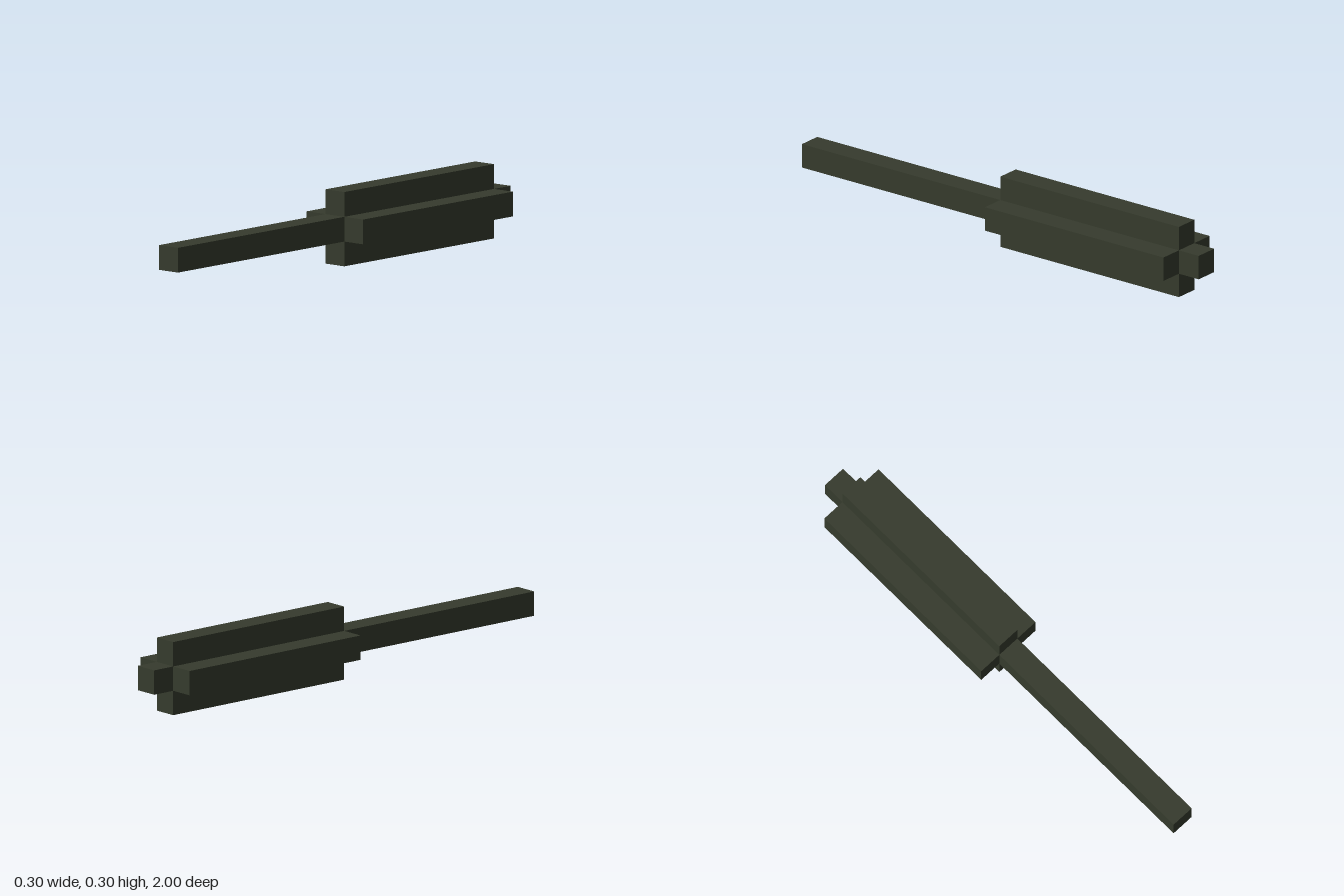
import * as THREE from 'three';

export function createModel() {
  const model = new THREE.Group();
  model.name = 'crossBarredRod';

  const darkOlive = new THREE.MeshStandardMaterial({ color: 0x363b2d });
  darkOlive.name = 'darkOlive';

  const width = 0.1;
  const centreY = 0.15;

  // A square bar running along z
  function bar(name, x, y, zBack, zFront) {
    const length = zFront - zBack;
    const mesh = new THREE.Mesh(new THREE.BoxGeometry(width, width, length), darkOlive);
    mesh.name = name;
    mesh.position.set(x, y, (zBack + zFront) / 2);
    model.add(mesh);
  }

  // Full-length core: slim handle at the front, short stub at the back
  bar('coreRod', 0, centreY, -1, 1);

  // Four flanges around the rear half, forming a plus-shaped section
  const flanges = [
    ['topFlange', 0, 1],
    ['bottomFlange', 0, -1],
    ['leftFlange', 1, 0],
    ['rightFlange', -1, 0],
  ];
  for (const [name, dx, dy] of flanges) {
    bar(name, dx * width, centreY + dy * width, -0.9, 0);
  }

  return model;
}
